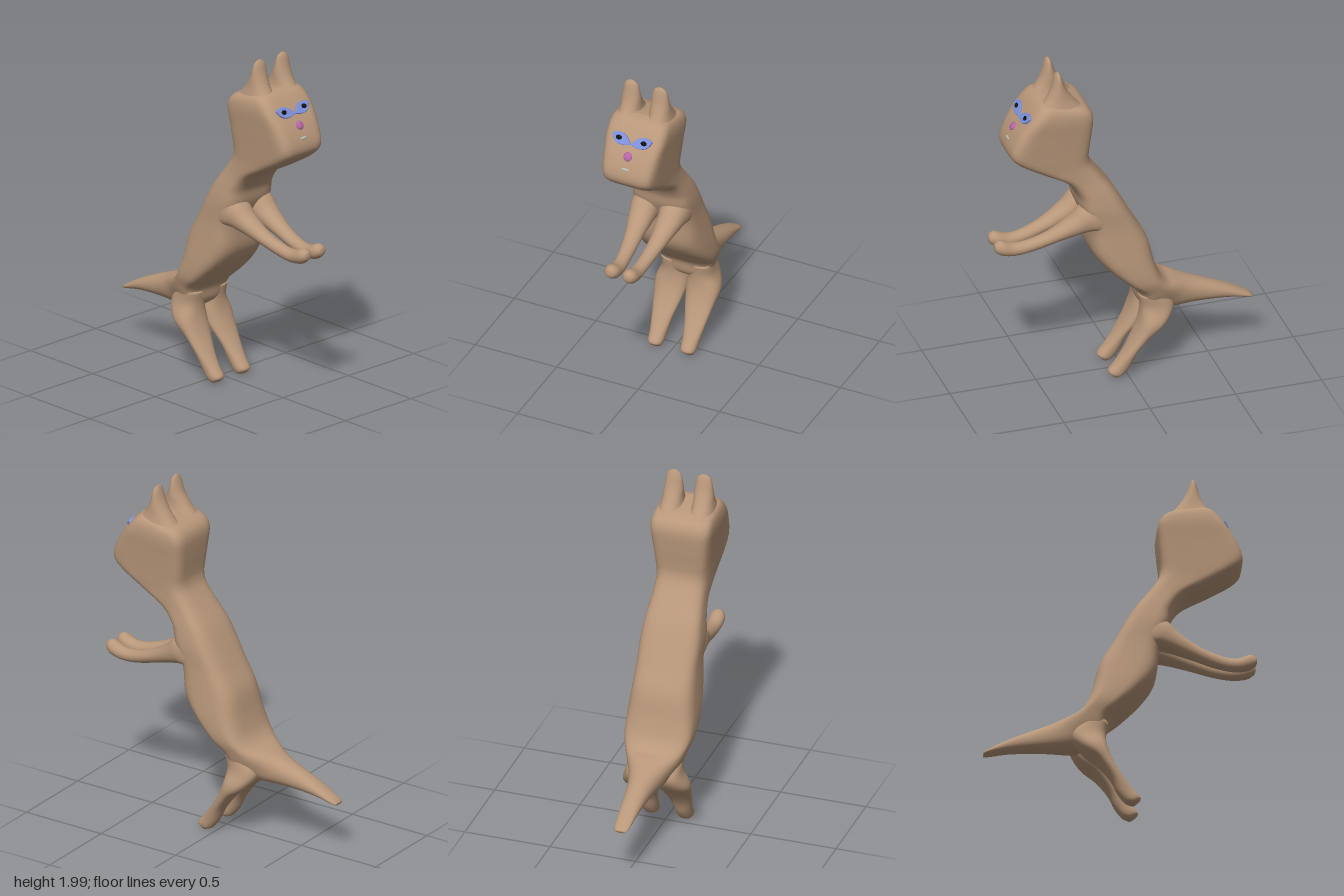
import * as THREE from 'three';

const FUR = 0xb8977a;
const material = (color) => new THREE.MeshStandardMaterial({ color });

// Smooth loft through cross-sections [frontZ, frontY, backZ, backY, halfWidth, centreX, squareness]
function loft(sections, side = 1, steps = 5, sides = 40) {
  const curve = (pick) => new THREE.CatmullRomCurve3(sections.map((s) => new THREE.Vector3(...pick(s))), false, 'catmullrom');
  const front = curve((s) => [0, s[1], s[0]]);
  const back = curve((s) => [0, s[3], s[2]]);
  const size = curve((s) => [s[4], s[5], s[6]]);
  const rings = (sections.length - 1) * steps;
  const pos = [], index = [];
  const power = (v, n) => Math.sign(v) * Math.pow(Math.abs(v), 2 / n);
  for (let i = 0; i <= rings; i++) {
    const f = front.getPoint(i / rings), b = back.getPoint(i / rings), d = size.getPoint(i / rings);
    const mid = f.clone().add(b).multiplyScalar(0.5);
    const half = f.clone().sub(b).multiplyScalar(0.5);
    for (let j = 0; j < sides; j++) {
      const a = (j / sides) * Math.PI * 2;
      const u = power(Math.cos(a), d.z), v = power(Math.sin(a), d.z);
      pos.push(side * d.y + u * d.x, mid.y + half.y * v, mid.z + half.z * v);
    }
  }
  for (let i = 0; i < rings; i++) {
    for (let j = 0; j < sides; j++) {
      const k = (j + 1) % sides, p = i * sides, q = p + sides;
      index.push(p + j, p + k, q + j, p + k, q + k, q + j);
    }
  }
  // End caps
  for (const [ring, flip] of [[0, true], [rings, false]]) {
    const f = front.getPoint(ring / rings), b = back.getPoint(ring / rings), d = size.getPoint(ring / rings);
    const c = pos.length / 3, p = ring * sides;
    pos.push(side * d.y, (f.y + b.y) / 2, (f.z + b.z) / 2);
    for (let j = 0; j < sides; j++) {
      const k = (j + 1) % sides;
      if (flip) index.push(c, p + k, p + j);
      else index.push(c, p + j, p + k);
    }
  }
  const g = new THREE.BufferGeometry();
  g.setAttribute('position', new THREE.Float32BufferAttribute(pos, 3));
  g.setIndex(index);
  g.computeVertexNormals();
  return g;
}

// Head, torso and tail in one run
const BODY = [
  [0.45, 1.83, 0.30, 1.80, 0.11, 0, 4],
  [0.51, 1.81, 0.235, 1.77, 0.165, 0, 5],
  [0.57, 1.74, 0.205, 1.71, 0.18, 0, 6],
  [0.64, 1.64, 0.21, 1.60, 0.17, 0, 6],
  [0.68, 1.53, 0.22, 1.50, 0.16, 0, 6],
  [0.64, 1.46, 0.22, 1.44, 0.155, 0, 5],
  [0.50, 1.37, 0.20, 1.385, 0.15, 0, 4],
  [0.36, 1.29, 0.14, 1.30, 0.152, 0, 3.5],
  [0.29, 1.20, 0.07, 1.205, 0.165, 0, 3.5],
  [0.27, 1.11, 0.01, 1.10, 0.175, 0, 3.5],
  [0.22, 0.98, -0.055, 0.98, 0.175, 0, 3.5],
  [0.20, 0.82, -0.12, 0.86, 0.185, 0, 3.5],
  [0.13, 0.71, -0.155, 0.72, 0.195, 0, 3.5],
  [0.02, 0.60, -0.19, 0.62, 0.195, 0, 3.5],
  [-0.06, 0.52, -0.24, 0.565, 0.175, 0, 3],
  [-0.09, 0.42, -0.30, 0.545, 0.15, 0, 2.6],
  [-0.22, 0.36, -0.38, 0.515, 0.105, 0, 2.3],
  [-0.42, 0.355, -0.46, 0.485, 0.072, 0, 2.2],
  [-0.60, 0.345, -0.60, 0.425, 0.055, 0, 2.2],
  [-0.72, 0.325, -0.72, 0.36, 0.043, 0, 2.2],
  [-0.75, 0.32, -0.755, 0.335, 0.03, 0, 2.2],
];

const EAR = [
  [0.405, 2.0, 0.395, 2.0, 0.012, 0.088, 2],
  [0.42, 1.975, 0.383, 1.975, 0.04, 0.088, 2],
  [0.442, 1.90, 0.355, 1.90, 0.054, 0.088, 2],
  [0.475, 1.835, 0.31, 1.83, 0.06, 0.09, 2.2],
  [0.53, 1.77, 0.25, 1.76, 0.075, 0.09, 2.4],
];

const ARM = [
  [0.15, 1.20, 0.05, 1.00, 0.082, 0.082, 2.4],
  [0.27, 1.12, 0.12, 0.96, 0.085, 0.087, 2.4],
  [0.33, 1.06, 0.22, 0.965, 0.072, 0.085, 2.2],
  [0.45, 0.985, 0.37, 0.925, 0.05, 0.074, 2],
  [0.57, 0.943, 0.52, 0.878, 0.04, 0.062, 2],
  [0.65, 0.937, 0.63, 0.86, 0.04, 0.056, 2],
  [0.72, 0.963, 0.71, 0.87, 0.043, 0.055, 2],
  [0.753, 0.95, 0.75, 0.895, 0.028, 0.055, 2],
  [0.76, 0.93, 0.76, 0.915, 0.01, 0.055, 2],
];

const LEG = [
  [-0.07, 0.50, -0.20, 0.52, 0.075, 0.08, 2.4],
  [-0.08, 0.42, -0.27, 0.42, 0.08, 0.082, 2.4],
  [-0.07, 0.34, -0.22, 0.325, 0.098, 0.094, 2.4],
  [-0.035, 0.25, -0.13, 0.25, 0.083, 0.096, 2.3],
  [0.02, 0.16, -0.06, 0.16, 0.062, 0.1, 2.2],
  [0.075, 0.09, -0.02, 0.075, 0.049, 0.1, 2.2],
  [0.112, 0.045, 0.02, 0.022, 0.043, 0.1, 2.2],
  [0.09, 0.015, 0.05, 0.006, 0.03, 0.1, 2],
];

export function createModel() {
  const model = new THREE.Group();
  const add = (parent, name, geometry, color) => {
    const mesh = new THREE.Mesh(geometry, material(color));
    mesh.name = name;
    parent.add(mesh);
    return mesh;
  };

  add(model, 'headBodyTail', loft(BODY), FUR);
  for (const [label, side] of [['left', 1], ['right', -1]]) {
    add(model, label + 'Ear', loft(EAR, side), FUR);
    add(model, label + 'Arm', loft(ARM, side), FUR);
    add(model, label + 'Leg', loft(LEG, side), FUR);
  }

  // Face features lie on the sloping front of the head
  const eyes = new THREE.Group();
  eyes.name = 'eyes';
  eyes.position.set(0, 1.73, 0.577);
  eyes.rotation.x = -0.61;
  model.add(eyes);
  for (const [label, s] of [['left', 1], ['right', -1]]) {
    const almond = new THREE.Shape();
    almond.moveTo(s * 0.003, -0.026);
    almond.bezierCurveTo(s * 0.04, 0.036, s * 0.09, 0.036, s * 0.118, 0.014);
    almond.bezierCurveTo(s * 0.1, -0.046, s * 0.05, -0.04, s * 0.003, -0.026);
    const eye = add(eyes, label + 'Eye', new THREE.ExtrudeGeometry(almond, {
      depth: 0.016, curveSegments: 12, bevelThickness: 0.004, bevelSize: 0.003, bevelSegments: 2,
    }), 0x7d90dc);
    eye.position.z = -0.008;
    const pupil = add(eyes, label + 'Pupil', new THREE.SphereGeometry(0.016, 20, 12), 0x111111);
    pupil.scale.set(1.15, 0.85, 0.4);
    pupil.position.set(s * 0.076, -0.002, 0.011);
  }

  const nose = add(model, 'nose', new THREE.SphereGeometry(0.026, 24, 16), 0xb565a7);
  nose.position.set(0, 1.653, 0.632);
  nose.rotation.x = -0.6;
  nose.scale.z = 0.5;

  const mouth = add(model, 'mouth', new THREE.SphereGeometry(0.026, 24, 12), 0xb9b9b0);
  mouth.position.set(0, 1.585, 0.663);
  mouth.rotation.x = -0.4;
  mouth.scale.set(1, 0.35, 0.3);

  return model;
}
